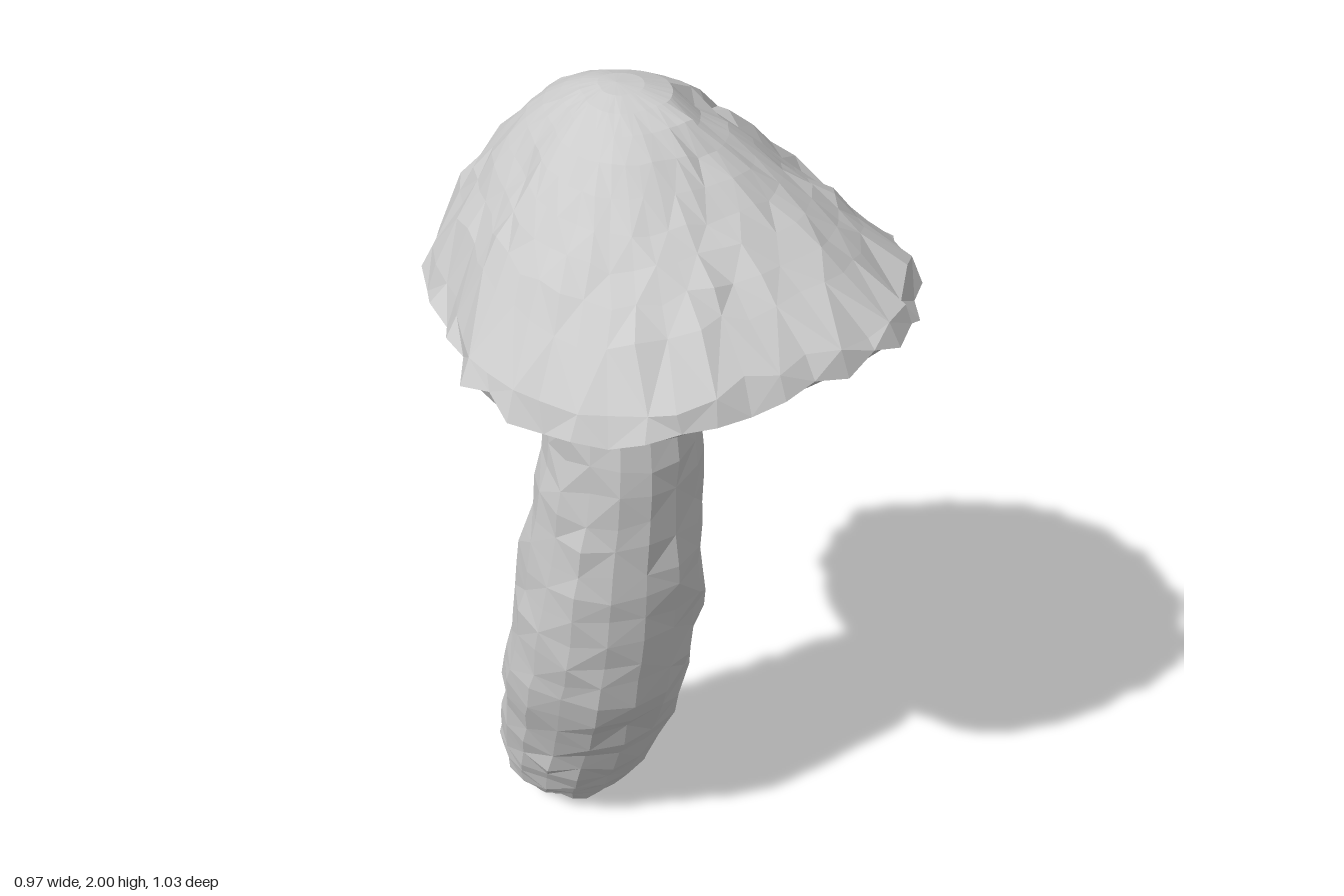
import * as THREE from 'three';

// Small repeatable noise in -1..1
function makeNoise(seed) {
  let s = seed;
  return () => {
    s = (s * 16807) % 2147483647;
    return (s / 2147483647) * 2 - 1;
  };
}

// Skin a stack of closed rings, listed from the bottom up
function loft(rings) {
  const n = rings[0].length;
  const index = [];
  for (let i = 0; i < rings.length - 1; i++) {
    for (let j = 0; j < n; j++) {
      const k = (j + 1) % n;
      const a = i * n + j, b = i * n + k, c = a + n, d = b + n;
      if ((i + j) % 2) index.push(a, c, b, b, c, d);
      else index.push(a, c, d, a, d, b);
    }
  }
  const geometry = new THREE.BufferGeometry().setFromPoints(rings.flat());
  geometry.setIndex(index);
  geometry.computeVertexNormals();
  return geometry;
}

// Bent stem: each section gives y, min x, max x, min z, max z
function stemGeometry() {
  const noise = makeNoise(71);
  const sections = [
    [0.01, -0.33, -0.15, -0.35, -0.2],
    [0.1, -0.4, -0.07, -0.45, -0.13],
    [0.2, -0.41, -0.03, -0.455, -0.06],
    [0.4, -0.39, 0.02, -0.38, 0.03],
    [0.6, -0.37, 0.05, -0.31, 0.12],
    [0.8, -0.34, 0.07, -0.26, 0.16],
    [1.0, -0.305, 0.065, -0.205, 0.175],
    [1.2, -0.265, 0.06, -0.165, 0.175],
    [1.4, -0.25, 0.05, -0.14, 0.165],
    [1.58, -0.24, 0.045, -0.13, 0.15],
  ];
  const centres = new THREE.CatmullRomCurve3(sections.map(
    ([y, x0, x1, z0, z1]) => new THREE.Vector3((x0 + x1) / 2, y, (z0 + z1) / 2)));
  const radii = new THREE.CatmullRomCurve3(sections.map(
    ([, x0, x1, z0, z1]) => new THREE.Vector3((x1 - x0) / 2, 0, (z1 - z0) / 2)));
  const steps = 27, sides = 16;
  const rings = [Array.from({ length: sides }, () => new THREE.Vector3(-0.245, 0, -0.275))];
  for (let i = 0; i <= steps; i++) {
    const c = centres.getPoint(i / steps), r = radii.getPoint(i / steps);
    const ring = [];
    for (let j = 0; j < sides; j++) {
      const a = (j / sides) * Math.PI * 2;
      const k = 1 + noise() * 0.04;
      const y = Math.max(0, c.y + noise() * 0.014);
      ring.push(new THREE.Vector3(c.x + Math.cos(a) * r.x * k, y, c.z + Math.sin(a) * r.z * k));
    }
    rings.push(ring);
  }
  return loft(rings);
}

// Lopsided cap: tilted rim outline, flat underside and uneven dome
function capGeometry() {
  const noise = makeNoise(2024);
  const outline = [
    [0.47, 1.575, -0.05], [0.455, 1.59, 0.14], [0.41, 1.6, 0.26], [0.255, 1.595, 0.39],
    [0.06, 1.57, 0.48], [-0.02, 1.55, 0.5], [-0.16, 1.53, 0.475], [-0.255, 1.53, 0.42],
    [-0.37, 1.54, 0.3], [-0.415, 1.55, 0.14], [-0.47, 1.55, -0.02], [-0.475, 1.54, -0.18],
    [-0.455, 1.54, -0.28], [-0.385, 1.53, -0.4], [-0.3, 1.51, -0.46], [-0.1, 1.48, -0.505],
    [0.11, 1.445, -0.505], [0.25, 1.455, -0.455], [0.39, 1.5, -0.325], [0.45, 1.53, -0.18],
  ];
  const curve = new THREE.CatmullRomCurve3(outline.map((p) => new THREE.Vector3(...p)), true);
  const sides = 48;
  const rim = curve.getSpacedPoints(sides).slice(0, sides);
  const apex = new THREE.Vector3(-0.1, 2, -0.01);
  const hub = new THREE.Vector3(-0.1, 1.53, 0.01);
  const rings = [];

  // Underside, from the hub out to the rim
  for (const t of [0, 0.35, 0.65, 0.95]) {
    rings.push(rim.map((p) => hub.clone().lerp(p, t)));
  }

  // Ragged rim with alternating teeth
  rings.push(rim.map((p, j) => {
    const k = 1.005 + (j % 2 ? 0.02 : -0.015) + noise() * 0.015;
    return new THREE.Vector3(p.x * k, p.y + 0.018 + noise() * 0.016, p.z * k);
  }));

  // Dome, straighter on the left and fuller on the right and back
  const rows = 11;
  for (let i = 1; i <= rows; i++) {
    const t = 0.985 * (1 - i / rows) + (i === 1 ? 0.07 : 0);
    rings.push(rim.map((p) => {
      const power = THREE.MathUtils.lerp(2, 1.6 - 0.5 * p.x - 0.3 * p.z, Math.min(1, t * 1.8));
      const q = apex.clone().lerp(p, t);
      const base = p.y + 0.045;
      q.y = base + (2 - base) * (1 - Math.pow(t, power));
      // Shallow step running from near the top to the back left rim
      const past = q.z + 0.09 + 0.6 * q.x;
      if (q.x > 0.04 && past > 0) q.y -= 0.04 * Math.max(0, 1 - past / 0.4) * (1 - t * 0.5);
      // Broad lumps, plus fine roughness that fades toward the top
      q.y += 0.008 * t * Math.sin(q.x * 31 + 1) * Math.sin(q.z * 27);
      const rough = 0.014 * t * t;
      return q.add(new THREE.Vector3(noise() * rough, noise() * rough, noise() * rough));
    }));
  }
  return loft(rings);
}

export function createModel() {
  const material = new THREE.MeshStandardMaterial({ color: 0xcccccc, flatShading: true });
  const stem = new THREE.Mesh(stemGeometry(), material);
  stem.name = 'stem';
  const cap = new THREE.Mesh(capGeometry(), material);
  cap.name = 'cap';
  const mushroom = new THREE.Group();
  mushroom.name = 'mushroom';
  mushroom.add(stem, cap);
  return mushroom;
}
